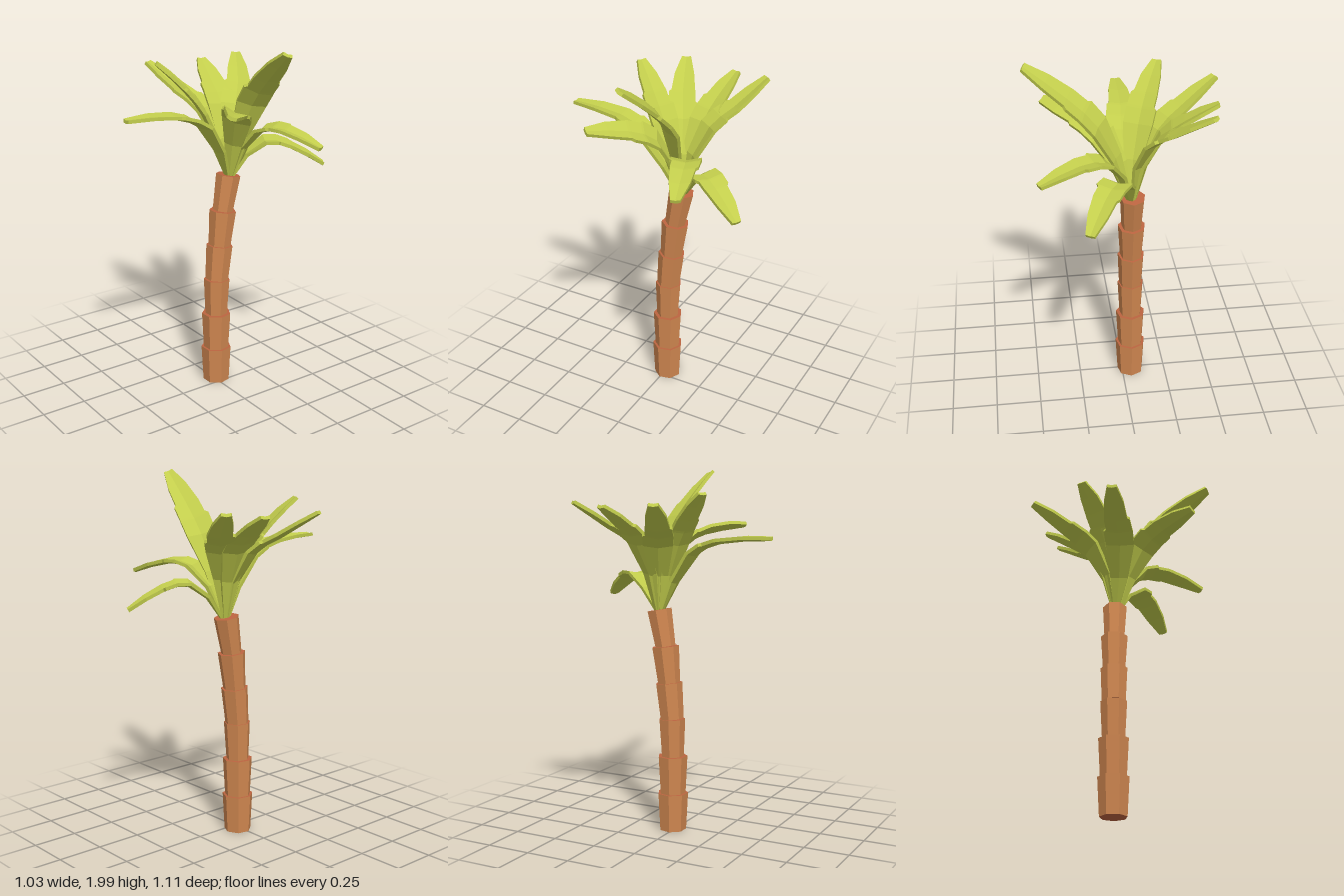
import * as THREE from 'three';

const UP = new THREE.Vector3(0, 1, 0);

// Half widths of a frond along its length: [u, left, right]; close pairs make the torn notches
const STATIONS = [
  [0, 0.015, 0.015], [0.25, 0.05, 0.05], [0.48, 0.08, 0.08], [0.6, 0.08, 0.083], [0.62, 0.078, 0.068],
  [0.72, 0.075, 0.068], [0.74, 0.062, 0.066], [0.87, 0.053, 0.053], [1, 0.025, 0.025],
];

// A folded strip with thickness, swept along a curve
function frondGeometry(points, roll) {
  const base = new THREE.Vector3(-0.04, 1.22, -0.1);
  const tip = new THREE.Vector3(...points[points.length - 1]);
  const dir = tip.clone().sub(base).setY(0).normalize();
  const start = base.addScaledVector(dir, 0.015);
  const curve = new THREE.CatmullRomCurve3([start, ...points.map(p => new THREE.Vector3(...p))]);
  const side = new THREE.Vector3().crossVectors(UP, dir);

  const rings = STATIONS.map(([u, left, right]) => {
    const centre = curve.getPoint(u);
    const tangent = curve.getTangent(u);
    const s = side.clone().applyAxisAngle(tangent, roll);
    const n = new THREE.Vector3().crossVectors(tangent, s).normalize();
    const at = (a, b) => centre.clone().addScaledVector(s, a).addScaledVector(n, b);
    const t = 0.009;
    const fold = 0.2;
    return [
      at(left, left * fold + t), at(0, t), at(-right, right * fold + t),
      at(-right, right * fold - t), at(0, -t), at(left, left * fold - t),
    ];
  });

  const pos = [];
  const quad = (a, b, c, d) => [a, b, c, a, c, d].forEach(p => pos.push(p.x, p.y, p.z));
  for (let i = 0; i < rings.length - 1; i++) {
    for (let k = 0; k < 6; k++) {
      const m = (k + 1) % 6;
      quad(rings[i][k], rings[i][m], rings[i + 1][m], rings[i + 1][k]);
    }
  }
  // End caps
  const f = rings[0];
  const l = rings[rings.length - 1];
  quad(f[5], f[4], f[1], f[0]);
  quad(f[4], f[3], f[2], f[1]);
  quad(l[0], l[1], l[4], l[5]);
  quad(l[1], l[2], l[3], l[4]);

  const geometry = new THREE.BufferGeometry();
  geometry.setAttribute('position', new THREE.Float32BufferAttribute(pos, 3));
  geometry.computeVertexNormals();
  return geometry;
}

export function createModel() {
  const bark = new THREE.MeshStandardMaterial({ name: 'bark', color: 0xd08750, flatShading: true });
  const cutWood = new THREE.MeshStandardMaterial({ name: 'cutWood', color: 0xbc6440, flatShading: true });
  const leaf = new THREE.MeshStandardMaterial({ name: 'leaf', color: 0xc2cd4c, flatShading: true });

  const model = new THREE.Group();
  model.name = 'palmTree';

  // Trunk: stacked seven-sided segments, each flaring upward, leaning back
  const trunk = new THREE.Group();
  trunk.name = 'trunk';
  const joints = [[0, -0.014], [0.21, -0.014], [0.42, -0.015], [0.63, -0.019], [0.83, -0.038], [1.03, -0.06], [1.23, -0.097]];
  const radii = [[0.075, 0.086], [0.072, 0.083], [0.063, 0.074], [0.066, 0.075], [0.063, 0.076], [0.057, 0.069]];
  radii.forEach(([bottom, top], i) => {
    const a = new THREE.Vector3(-0.048, ...joints[i]);
    const b = new THREE.Vector3(-0.048, ...joints[i + 1]);
    const geometry = new THREE.CylinderGeometry(top, bottom, a.distanceTo(b), 7).rotateY(Math.PI / 7);
    const segment = new THREE.Mesh(geometry, [bark, cutWood, cutWood]);
    segment.name = `trunkSegment${i + 1}`;
    segment.position.copy(a).lerp(b, 0.5);
    segment.quaternion.setFromUnitVectors(UP, b.clone().sub(a).normalize());
    trunk.add(segment);
  });
  model.add(trunk);

  // Fronds: centre line points from the crown to the tip, and roll
  const fronds = [
    [[[0.05, 1.47, -0.1], [0.15, 1.67, -0.11], [0.3, 1.82, -0.09], [0.5, 1.975, -0.05]], -0.45],
    [[[0.03, 1.42, -0.07], [0.12, 1.58, -0.02], [0.24, 1.65, 0.07], [0.4, 1.68, 0.21]], -0.4],
    [[[-0.02, 1.38, -0.01], [-0.01, 1.54, 0.11], [-0.025, 1.605, 0.27], [-0.03, 1.625, 0.55]], 0],
    [[[-0.06, 1.42, -0.03], [-0.1, 1.6, 0.05], [-0.15, 1.73, 0.14], [-0.22, 1.855, 0.25]], 0],
    [[[-0.1, 1.42, -0.07], [-0.2, 1.59, -0.02], [-0.33, 1.68, 0.05], [-0.51, 1.8, 0.125]], 0],
    [[[-0.11, 1.43, -0.12], [-0.2, 1.6, -0.15], [-0.31, 1.69, -0.17], [-0.465, 1.79, -0.205]], 0],
    [[[-0.08, 1.44, -0.15], [-0.15, 1.6, -0.22], [-0.25, 1.69, -0.31], [-0.41, 1.81, -0.41]], 0],
    [[[0, 1.34, -0.19], [0.06, 1.41, -0.28], [0.13, 1.38, -0.39], [0.22, 1.28, -0.545]], 0],
    [[[0.03, 1.39, -0.15], [0.12, 1.5, -0.21], [0.25, 1.51, -0.26], [0.45, 1.45, -0.325]], 0],
  ];
  const crown = new THREE.Group();
  crown.name = 'crown';
  fronds.forEach(([points, roll], i) => {
    const frond = new THREE.Mesh(frondGeometry(points, roll), leaf);
    frond.name = `frond${i + 1}`;
    crown.add(frond);
  });
  model.add(crown);

  return model;
}
